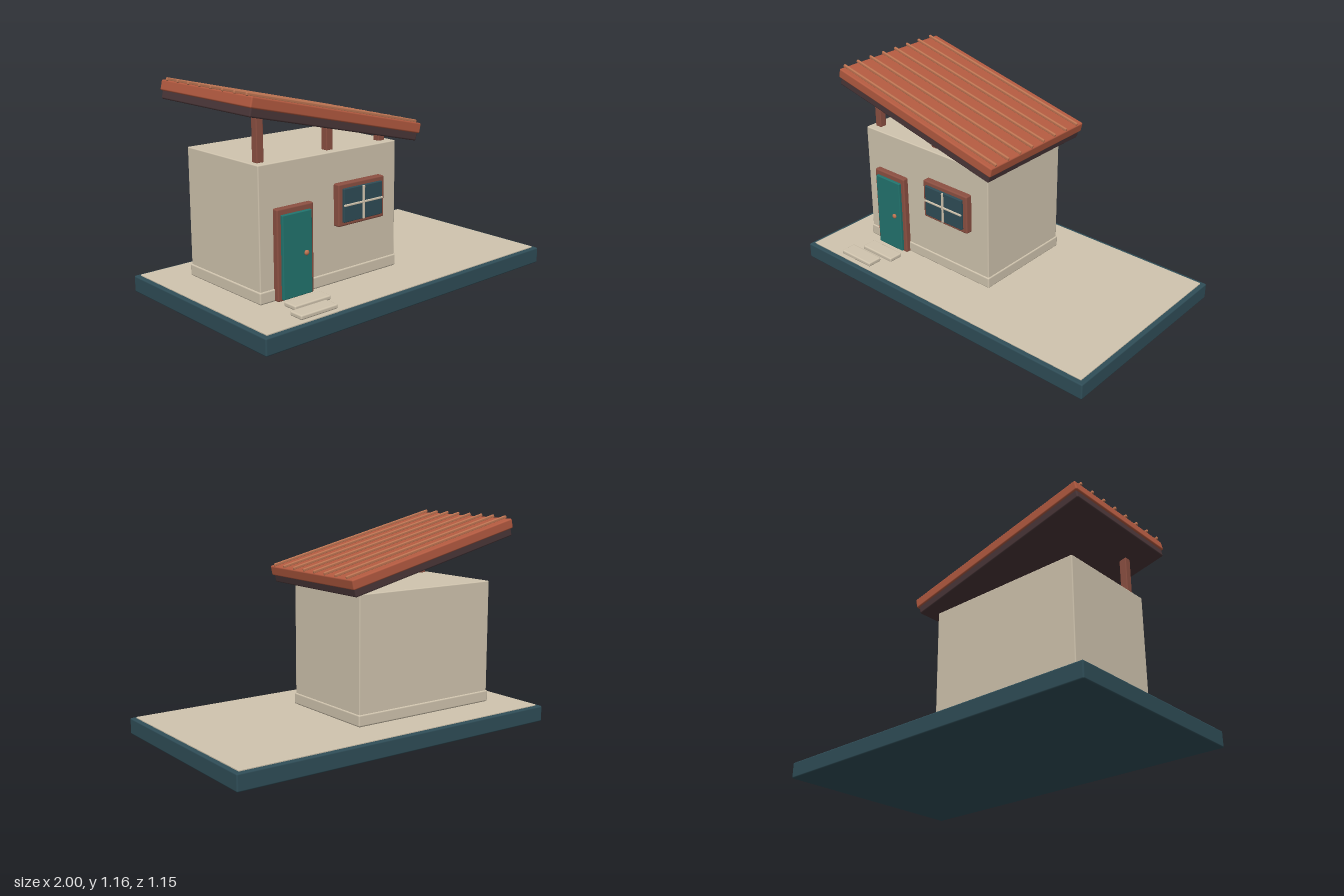
import * as THREE from 'three';
import { RoundedBoxGeometry } from 'three/addons/geometries/RoundedBoxGeometry.js';

const material = (name, color) => {
  const m = new THREE.MeshStandardMaterial({ color });
  m.name = name;
  return m;
};

// Softly bevelled box given by its min/max extents on each axis
function block(parent, name, mat, [x0, x1], [y0, y1], [z0, z1], radius = 0.008) {
  const w = x1 - x0, h = y1 - y0, d = z1 - z0;
  const r = Math.min(radius, Math.min(w, h, d) * 0.4);
  const mesh = new THREE.Mesh(new RoundedBoxGeometry(w, h, d, 2, r), mat);
  mesh.position.set((x0 + x1) / 2, (y0 + y1) / 2, (z0 + z1) / 2);
  mesh.name = name;
  parent.add(mesh);
  return mesh;
}

export function createModel() {
  const plaster = material('plaster', 0xd0c4ae);
  const slate = material('slate blue', 0x2f4d57);
  const teal = material('door teal', 0x22746e);
  const terracotta = material('terracotta', 0xb35a40);
  const timber = material('timber brown', 0x8c5042);
  const soffit = material('dark soffit', 0x4a3638);
  const copper = material('copper', 0xbd7452);

  const model = new THREE.Group();
  model.name = 'slantRoofHouse';

  // Ground slab and paving
  block(model, 'base', slate, [-1, 1], [0, 0.09], [-0.575, 0.575]);
  block(model, 'paving', plaster, [-0.975, 0.975], [0.085, 0.097], [-0.55, 0.55], 0.003);
  block(model, 'upperStep', plaster, [-0.7, -0.47], [0.097, 0.122], [0.33, 0.417]);
  block(model, 'lowerStep', plaster, [-0.755, -0.525], [0.097, 0.122], [0.442, 0.53]);

  // Walls
  block(model, 'walls', plaster, [-0.785, 0.13], [0.1, 0.8], [-0.341, 0.255], 0.006);
  block(model, 'skirting', plaster, [-0.791, 0.136], [0.103, 0.167], [-0.347, 0.261]);

  // Door
  const door = new THREE.Group();
  door.name = 'door';
  model.add(door);
  block(door, 'doorFrame', timber, [-0.7, -0.47], [0.103, 0.575], [0.245, 0.287]);
  block(door, 'doorPanel', teal, [-0.678, -0.493], [0.112, 0.545], [0.27, 0.303], 0.005);
  const knob = new THREE.Mesh(new THREE.SphereGeometry(0.014, 16, 12), copper);
  knob.name = 'doorKnob';
  knob.position.set(-0.535, 0.331, 0.31);
  knob.scale.z = 0.7;
  door.add(knob);

  // Window
  const win = new THREE.Group();
  win.name = 'window';
  model.add(win);
  block(win, 'windowFrame', timber, [-0.308, 0.012], [0.41, 0.634], [0.245, 0.293]);
  block(win, 'windowGlass', slate, [-0.283, -0.014], [0.432, 0.61], [0.28, 0.307], 0.004);
  block(win, 'verticalBar', plaster, [-0.155, -0.143], [0.432, 0.61], [0.303, 0.315], 0.003);
  block(win, 'horizontalBar', plaster, [-0.283, -0.014], [0.517, 0.528], [0.303, 0.314], 0.003);

  // Posts along the front of the wall top
  for (const [x, top] of [[-0.735, 1.045], [-0.295, 0.935], [0.07, 0.85]])
    block(model, 'roofPost', timber, [x - 0.021, x + 0.021], [0.797, top], [0.169, 0.211], 0.005);

  // Tilted roof, built flat and then turned
  const roof = new THREE.Group();
  roof.name = 'roof';
  roof.position.set(-0.326, 0.993, -0.036);
  roof.rotation.z = -0.23;
  model.add(roof);
  block(roof, 'roofSlab', terracotta, [-0.57, 0.57], [-0.0275, 0.0275], [-0.381, 0.381]);
  block(roof, 'roofUnderside', soffit, [-0.56, 0.56], [-0.069, -0.02], [-0.373, 0.373]);
  for (let i = 0; i < 8; i++) {
    const z = 0.341 - i * 0.0955;
    block(roof, 'roofRib', copper, [-0.577, 0.567], [0.024, 0.042], [z - 0.007, z + 0.007], 0.006);
  }

  return model;
}
